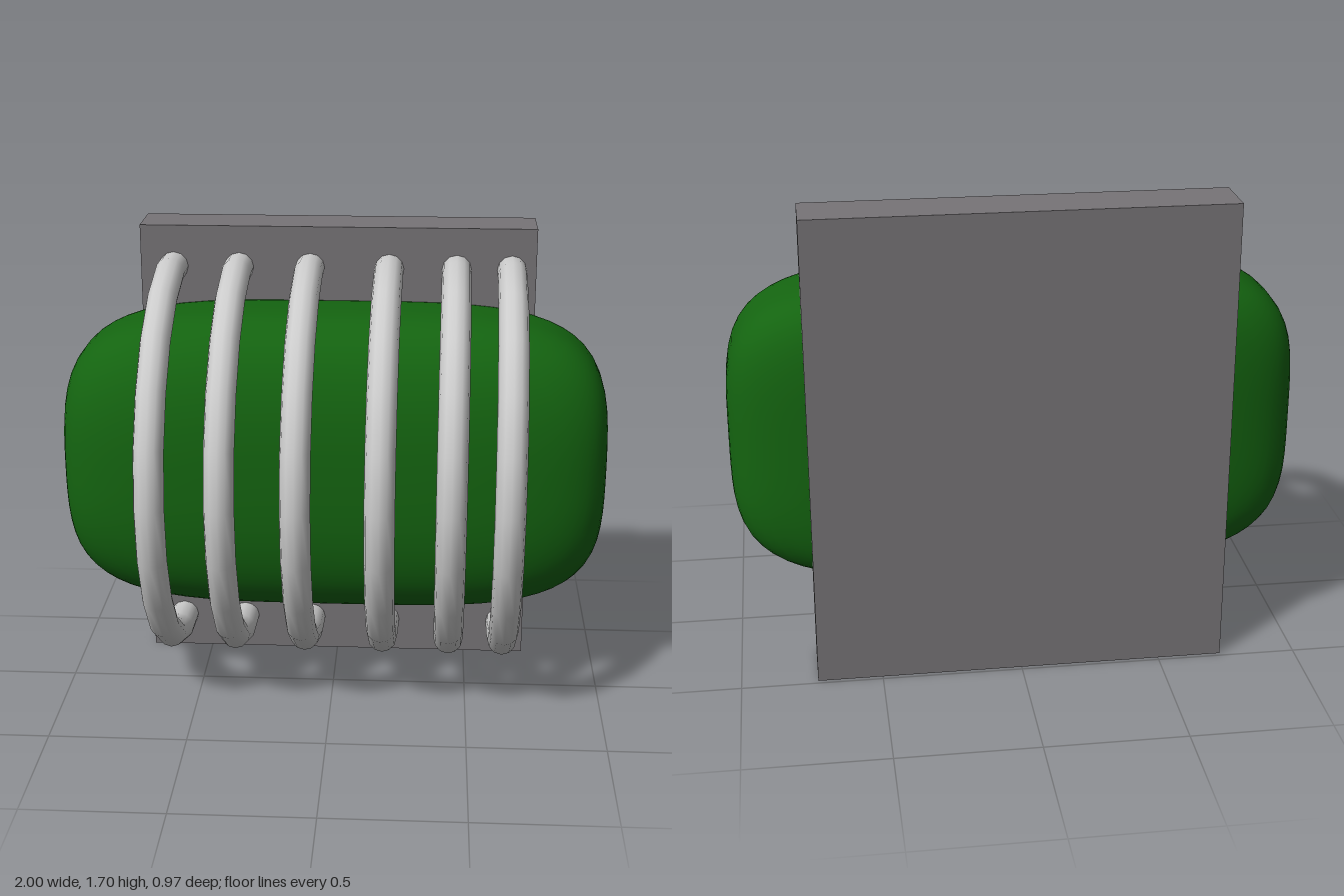
import * as THREE from 'three';
import { mergeVertices } from 'three/addons/utils/BufferGeometryUtils.js';

const material = (color) => new THREE.MeshStandardMaterial({ color });

function addMesh(group, name, geometry, mat, x, y, z) {
  const mesh = new THREE.Mesh(geometry, mat);
  mesh.name = name;
  mesh.position.set(x, y, z);
  group.add(mesh);
  return mesh;
}

// Rounded block: a subdivided cube pulled onto a superellipsoid, rounder at the front than at the back
function capsuleGeometry(hx, hy, hz) {
  let geometry = new THREE.BoxGeometry(2, 2, 2, 20, 20, 20);
  geometry.deleteAttribute('uv');
  geometry.deleteAttribute('normal');
  geometry = mergeVertices(geometry);
  const pos = geometry.attributes.position;
  const p = new THREE.Vector3();
  for (let i = 0; i < pos.count; i++) {
    p.fromBufferAttribute(pos, i);
    const n = p.z > 0 ? 2.65 : 4;
    const section = Math.pow(Math.abs(p.y) ** n + Math.abs(p.z) ** n, 1 / n);
    const f = Math.pow(p.x ** 4 + section ** 4, 1 / 4);
    pos.setXYZ(i, (p.x / f) * hx, (p.y / f) * hy, (p.z / f) * hz);
  }
  geometry.computeVertexNormals();
  return geometry;
}

export function createModel() {
  const model = new THREE.Group();
  model.name = 'cagedCapsule';

  // Wall plate
  addMesh(model, 'backPlate', new THREE.BoxGeometry(1.46, 1.7, 0.2), material(0x777477), 0, 0.85, -0.385);

  // Green body held behind the bars
  addMesh(model, 'greenBody', capsuleGeometry(1, 0.565, 0.335), material(0x146410), 0, 0.865, -0.135);

  // Curved bars, both ends sunk into the plate
  const step = THREE.MathUtils.degToRad(16.15);
  const barGeometry = new THREE.TorusGeometry(0.714, 0.054, 12, 12, step * 12);
  barGeometry.rotateZ(THREE.MathUtils.degToRad(-95.3));
  barGeometry.rotateY(-Math.PI / 2);
  const barMaterial = material(0xcccccc);
  const bars = new THREE.Group();
  bars.name = 'cageBars';
  [-0.608, -0.365, -0.102, 0.19, 0.438, 0.64].forEach((x, i) => {
    const bar = addMesh(bars, `cageBar${i + 1}`, barGeometry, barMaterial, x, 0.84, -0.283);
    bar.rotation.y = -0.012;
  });
  model.add(bars);

  return model;
}
